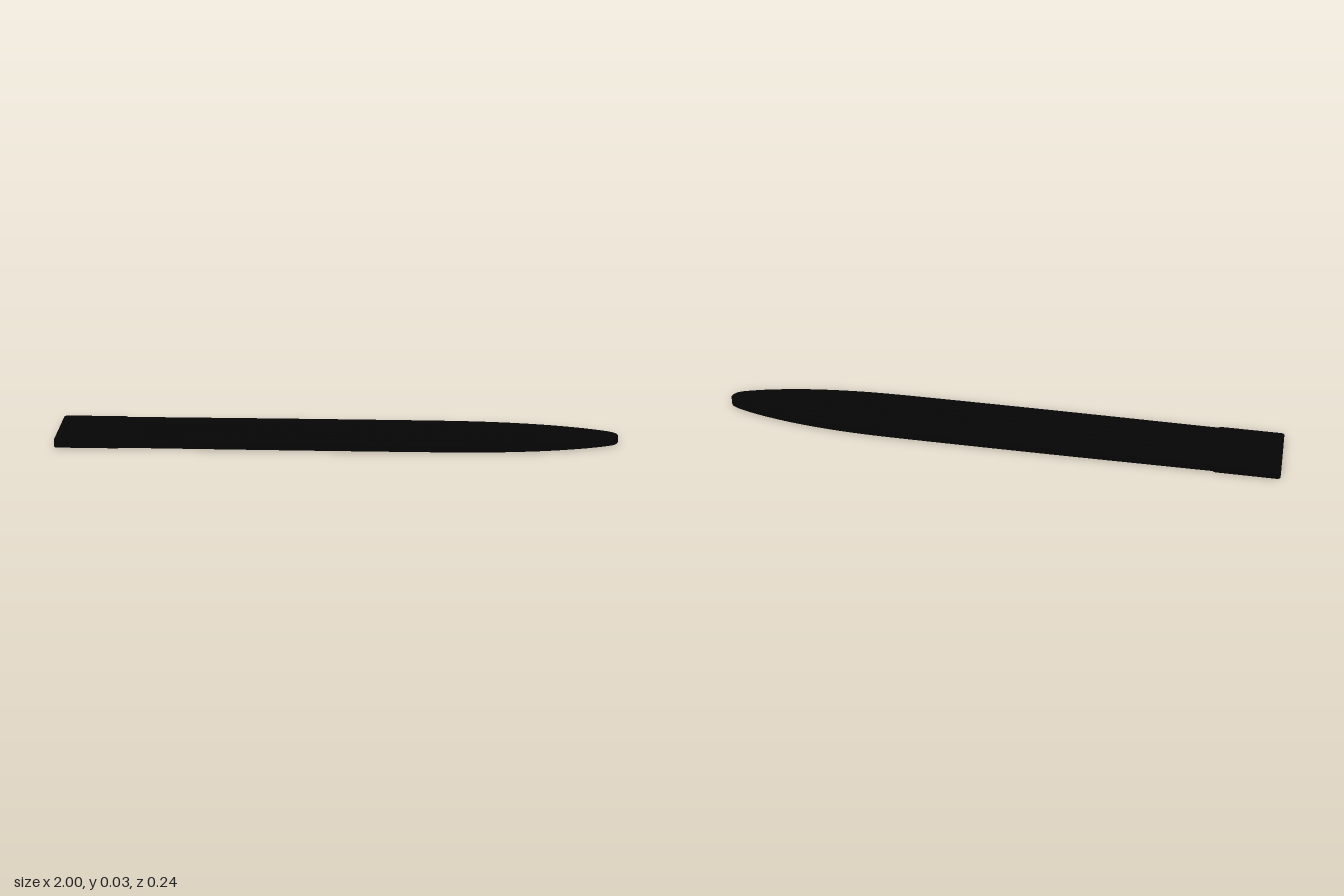
import * as THREE from 'three';

const black = new THREE.MeshStandardMaterial({ color: 0x050505 });
const FLOOR = 0.02, TOP = 0.025;

// Half-width of the blade body along x
const profile = new THREE.SplineCurve([
  [-0.775, 0.114], [-0.6, 0.115], [-0.2, 0.117], [0.2, 0.117], [0.45, 0.115], [0.6, 0.107],
  [0.74, 0.091], [0.86, 0.068], [0.94, 0.046], [0.98, 0.03], [0.995, 0.015], [1, 0],
].map(([x, z]) => new THREE.Vector2(x, z)));
const edge = profile.getPoints(88);

// Closed symmetric outline of the body, shrunk by an inset and cut at x0..x1
function bodyOutline(inset, x0 = -0.775, x1 = 1) {
  const side = edge.map((p, i) => {
    const a = edge[Math.max(i - 1, 0)], b = edge[Math.min(i + 1, edge.length - 1)];
    const t = b.clone().sub(a).normalize();
    return new THREE.Vector2(p.x + t.y * inset, p.y - t.x * inset);
  }).filter((p) => p.y > 0.001 && p.x >= x0 && p.x <= x1);
  if (x1 >= 1) side.push(new THREE.Vector2(1 - inset, 0));
  const other = side.filter((p) => p.y > 0.001).reverse().map((p) => new THREE.Vector2(p.x, -p.y));
  return [...side, ...other];
}

// Rounded rectangle outline
function roundedOutline(x0, x1, h, r) {
  const pts = [];
  [[x1 - r, h - r, 0], [x0 + r, h - r, 1], [x0 + r, r - h, 2], [x1 - r, r - h, 3]].forEach(([cx, cy, q]) => {
    for (let i = 0; i <= 5; i++) {
      const a = (q + i / 5) * Math.PI / 2;
      pts.push(new THREE.Vector2(cx + r * Math.cos(a), cy + r * Math.sin(a)));
    }
  });
  return pts;
}

// Flat plate between two heights, with an optional opening
function plate(name, outline, y0, y1, hole) {
  const shape = new THREE.Shape(outline);
  if (hole) shape.holes.push(new THREE.Path(hole));
  const geo = new THREE.ExtrudeGeometry(shape, { depth: y1 - y0, bevelEnabled: false });
  geo.rotateX(-Math.PI / 2).translate(0, y0, 0);
  const mesh = new THREE.Mesh(geo, black);
  mesh.name = name;
  return mesh;
}

function strip(name, x, z, sx, sz, top) {
  const mesh = new THREE.Mesh(new THREE.BoxGeometry(sx, top - FLOOR + 0.002, sz), black);
  mesh.position.set(x, (top + FLOOR - 0.002) / 2, z);
  mesh.name = name;
  return mesh;
}

export function createModel() {
  const model = new THREE.Group();
  model.name = 'flatBlade';

  // Long body with a raised rim
  model.add(plate('bodyBase', bodyOutline(0), 0, FLOOR));
  model.add(plate('bodyRim', bodyOutline(0), FLOOR, TOP, bodyOutline(0.014, -0.75)));

  // Wider square end with a shallow tray
  model.add(plate('endBase', roundedOutline(-1, -0.765, 0.12, 0.012), 0, FLOOR));
  model.add(plate('endRim', roundedOutline(-1, -0.765, 0.12, 0.012), FLOOR, TOP,
    roundedOutline(-0.978, -0.787, 0.098, 0.008)));

  // Smooth panel near the rounded tip
  model.add(plate('tipPanel', bodyOutline(0.022, 0.74, 0.965), FLOOR, 0.0225));

  // Fine low relief across the middle
  const relief = new THREE.Group();
  relief.name = 'surfaceRelief';
  for (let x = -0.7; x < 0.7; x += 0.05) {
    const half = edge.reduce((a, b) => Math.abs(b.x - x) < Math.abs(a.x - x) ? b : a).y - 0.014;
    relief.add(strip('crossRib', x, 0, 0.008, half * 2, 0.0235));
  }
  for (const z of [-0.06, -0.03, 0, 0.03, 0.06]) relief.add(strip('longRib', 0, z, 1.42, 0.006, 0.023));
  model.add(relief);
  return model;
}
